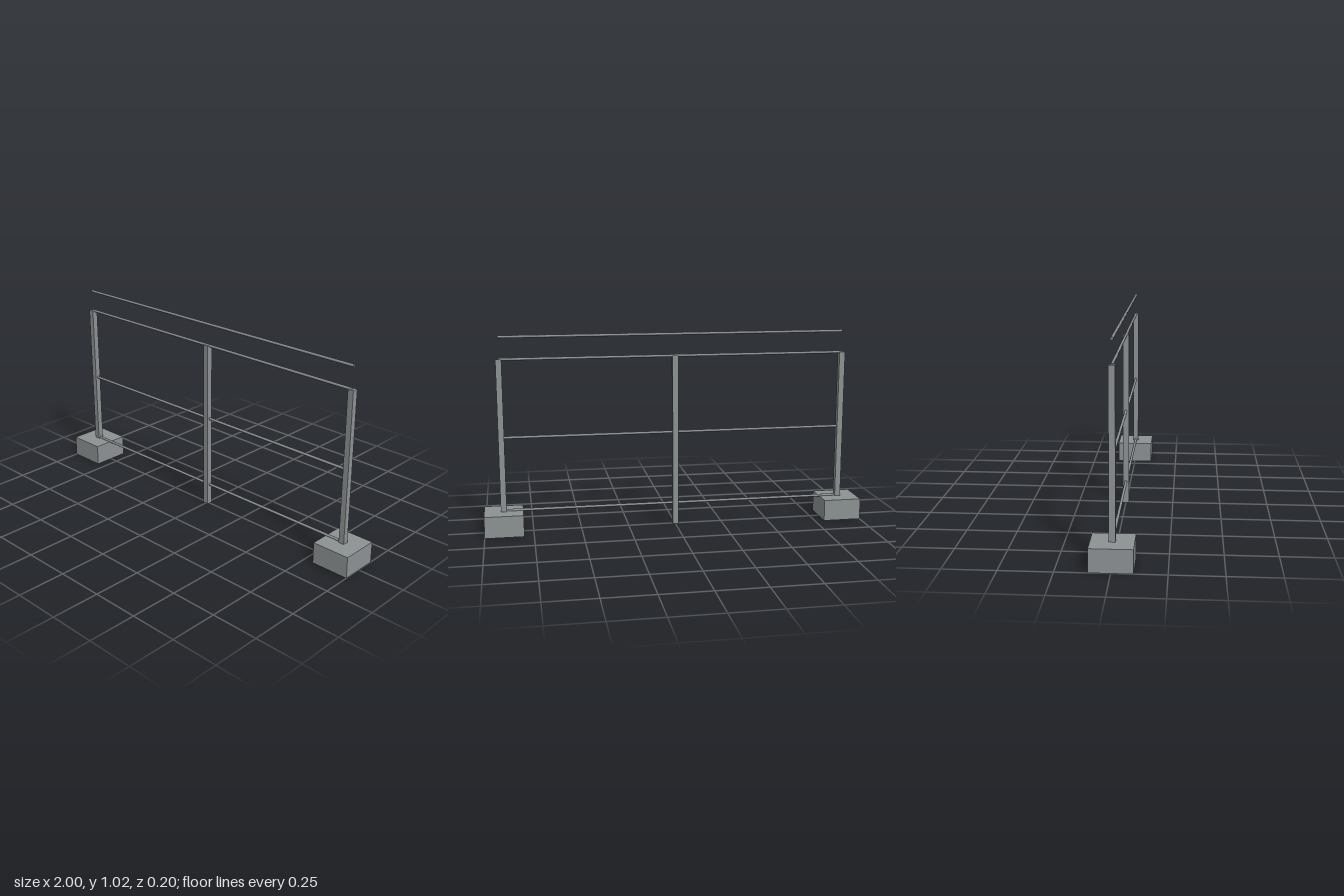
import * as THREE from 'three';

export function createModel() {
  const model = new THREE.Group();
  model.name = 'railing';
  const steel = new THREE.MeshStandardMaterial({ color: 0x8c9193 });
  steel.name = 'grey';

  const add = (name, geometry, x, y) => {
    const mesh = new THREE.Mesh(geometry, steel);
    mesh.name = name;
    mesh.position.set(x, y, 0);
    model.add(mesh);
  };

  const baseTop = 0.112, postTop = 0.903, span = 0.9, postSize = 0.03;

  // Ground blocks with an end post standing on each
  for (const [side, x] of [['left', span], ['right', -span]]) {
    add(side + 'Base', new THREE.BoxGeometry(0.2, baseTop, 0.2), x, baseTop / 2);
    const height = postTop - baseTop;
    add(side + 'Post', new THREE.BoxGeometry(postSize, height, postSize), x, baseTop + height / 2);
  }

  // Middle post reaches the ground
  add('middlePost', new THREE.BoxGeometry(postSize, postTop, postSize), 0, postTop / 2);

  // Thin round rails, the highest one floating above the posts
  const rails = [['bottomRail', 0.115], ['middleRail', 0.5], ['topRail', 0.902], ['handRail', 1.015]];
  for (const [name, y] of rails) {
    const rail = new THREE.CylinderGeometry(0.007, 0.007, span * 2, 12);
    rail.rotateZ(Math.PI / 2);
    add(name, rail, 0, y);
  }
  return model;
}
